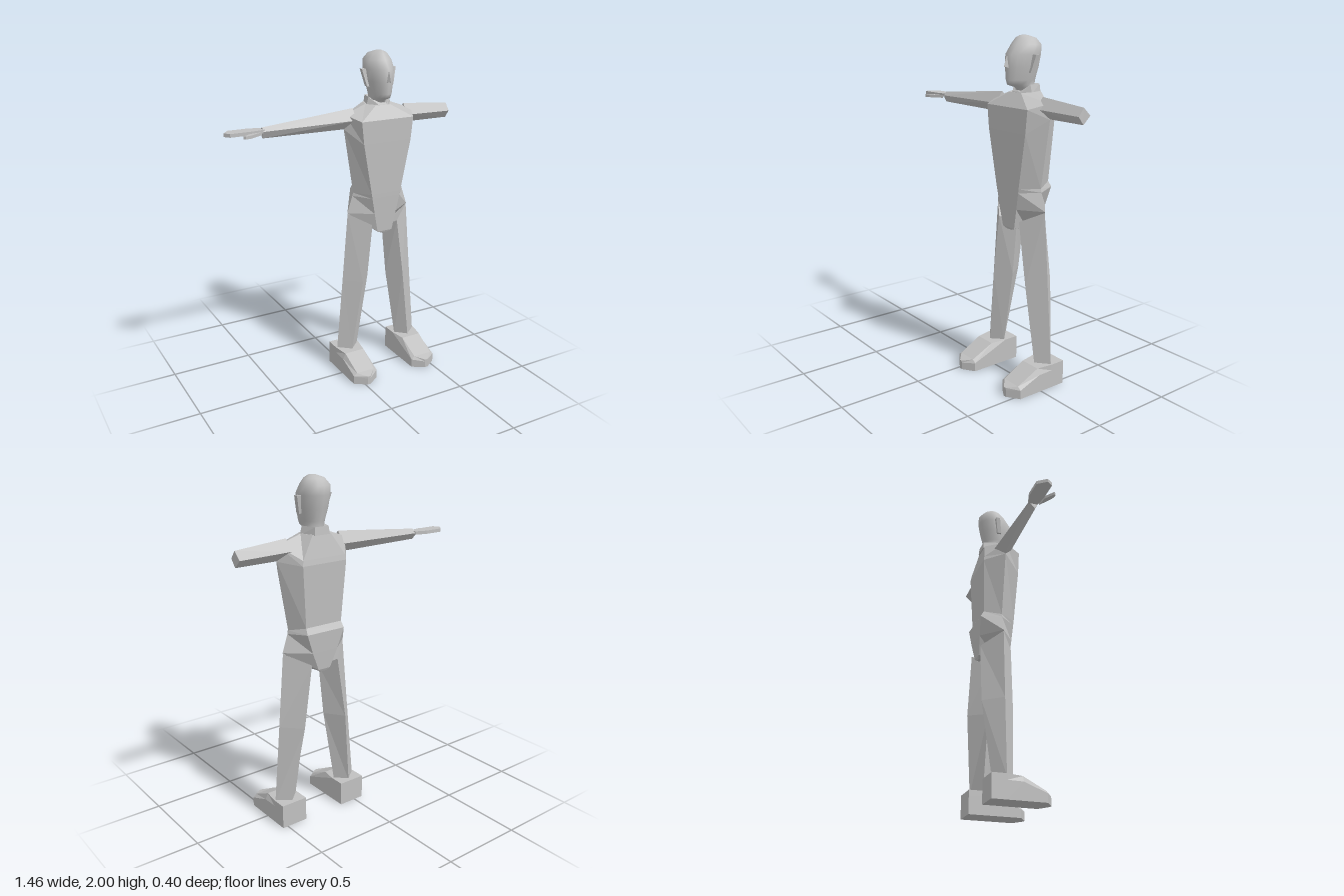
import * as THREE from 'three';

const CX = 0.2365; // symmetry plane of the body

// Closed skin over rings of [x, y, z] points, capped at both ends
function loft(rings, smooth = false) {
  const n = rings[0].length, pts = rings.flat(), idx = [];
  for (let r = 0; r < rings.length - 1; r++) {
    for (let i = 0; i < n; i++) {
      const a = r * n + i, b = r * n + (i + 1) % n;
      idx.push(a, b, b + n, a, b + n, a + n);
    }
  }
  const last = (rings.length - 1) * n;
  for (let i = 1; i < n - 1; i++) {
    idx.push(0, i + 1, i, last, last + i, last + i + 1);
  }
  // turn the faces outward whichever way the rings run
  let volume = 0;
  const v = (i) => new THREE.Vector3(...pts[i]);
  for (let i = 0; i < idx.length; i += 3) {
    volume += v(idx[i]).dot(v(idx[i + 1]).cross(v(idx[i + 2])));
  }
  if (volume < 0) idx.reverse();
  let geo = new THREE.BufferGeometry();
  geo.setAttribute('position', new THREE.Float32BufferAttribute(pts.flat(), 3));
  geo.setIndex(idx);
  if (!smooth) geo = geo.toNonIndexed();
  geo.computeVertexNormals();
  return geo;
}

// Half outline [halfX, y, z] from front to back, mirrored into a ring
const mirrored = (half) => [
  ...half.map(([x, y, z]) => [CX + x, y, z]),
  ...half.slice().reverse().map(([x, y, z]) => [CX - x, y, z]),
];

// Diamond section of an arm at x
const diamond = (x, low, mid, high, back, front) => [
  [x, high, -0.08], [x, mid, front], [x, low, -0.08], [x, mid, back],
];

export function createModel() {
  const model = new THREE.Group();
  const grey = new THREE.MeshStandardMaterial({ color: 0xc0c0c0 });
  grey.name = 'plain grey';
  const add = (name, geo) => {
    const mesh = new THREE.Mesh(geo, grey);
    mesh.name = name;
    model.add(mesh);
    return mesh;
  };

  // Torso: front, side and back corner at each level
  add('torso', loft([
    [[0.05, 1.69, -0.03], [0.085, 1.695, -0.09], [0.06, 1.695, -0.165]],
    [[0.175, 1.615, 0.03], [0.228, 1.645, -0.08], [0.14, 1.57, -0.19]],
    [[0.16, 1.48, 0.03], [0.235, 1.56, -0.08], [0.145, 1.54, -0.195]],
    [[0.1, 1.165, 0.022], [0.172, 1.165, -0.08], [0.12, 1.19, -0.18]],
    [[0.095, 1.14, 0.021], [0.177, 1.145, -0.08], [0.125, 1.155, -0.2]],
    [[0.075, 1.04, 0.016], [0.212, 1.04, -0.08], [0.085, 1.04, -0.192]],
    [[0.05, 0.92, 0.01], [0.05, 0.92, -0.08], [0.04, 0.93, -0.182]],
    [[0.02, 0.908, 0.005], [0.02, 0.908, -0.08], [0.02, 0.915, -0.175]],
  ].map(mirrored)));

  // Collar around the neck
  add('collar', loft([
    [[0.03, 1.675, -0.025], [0.083, 1.685, -0.08], [0.05, 1.69, -0.172]],
    [[0.03, 1.695, -0.035], [0.07, 1.735, -0.08], [0.045, 1.735, -0.168]],
  ].map(mirrored)));

  // Head and neck: egg-shaped sections [y, half width, front z, back z]
  const headRings = [
    [1.66, 0.058, -0.05, -0.15], [1.715, 0.06, -0.04, -0.155],
    [1.735, 0.06, 0.022, -0.157], [1.76, 0.067, 0.03, -0.16],
    [1.83, 0.084, 0.033, -0.177], [1.9, 0.092, 0.03, -0.19],
    [1.95, 0.087, -0.008, -0.19], [1.985, 0.058, -0.035, -0.16],
    [2.0, 0.02, -0.06, -0.11],
  ].map(([y, hx, front, back]) => Array.from({ length: 16 }, (_, i) => {
    const a = i / 16 * Math.PI * 2, c = Math.cos(a);
    return [
      CX + hx * Math.sin(a) * (1 - 0.28 * Math.max(0, c)),
      y,
      (front + back) / 2 + (front - back) / 2 * c,
    ];
  }));
  add('head', loft(headRings, true));

  add('nose', loft([
    [[CX - 0.018, 1.825, 0.02], [CX, 1.835, 0.052], [CX + 0.018, 1.825, 0.02]],
    [[CX - 0.006, 1.89, 0.02], [CX, 1.89, 0.034], [CX + 0.006, 1.89, 0.02]],
  ]));

  // Arms: the right one is long, the left one ends short
  add('rightArm', loft([
    diamond(0.06, 1.56, 1.615, 1.68, -0.136, -0.03),
    diamond(-0.51, 1.565, 1.605, 1.627, -0.117, -0.06),
  ]));
  add('leftArm', loft([
    diamond(0.41, 1.563, 1.615, 1.678, -0.136, -0.03),
    diamond(0.725, 1.562, 1.607, 1.652, -0.128, -0.045),
  ]));

  // Right hand: flat palm with fingers, and a thumb
  const slab = (outline, low, high) =>
    loft([low, high].map((y) => outline.map(([x, z]) => [x, y, z])));
  add('rightHand', slab([
    [-0.5, -0.118], [-0.57, -0.14], [-0.69, -0.14], [-0.73, -0.09],
    [-0.705, -0.055], [-0.58, -0.055], [-0.5, -0.065],
  ], 1.596, 1.616));
  add('rightThumb', slab([
    [-0.52, -0.06], [-0.59, -0.052], [-0.645, -0.015],
    [-0.635, -0.005], [-0.6, -0.013],
  ], 1.588, 1.605));

  for (const [side, s] of [['left', 1], ['right', -1]]) {
    const place = (rings) =>
      rings.map((ring) => ring.map(([x, y, z]) => [CX + s * x, y, z]));

    // Leg: diamond section with outer, front, inner and back ridges
    add(side + 'Leg', loft(place([
      [[0.21, 1.035, -0.08], [0.09, 0.97, 0.008], [0.035, 0.91, -0.08], [0.09, 0.97, -0.188]],
      [[0.247, 0.6, -0.08], [0.146, 0.6, 0.002], [0.067, 0.6, -0.08], [0.146, 0.6, -0.19]],
      [[0.288, 0.13, -0.08], [0.212, 0.13, -0.02], [0.146, 0.13, -0.08], [0.212, 0.13, -0.142]],
    ])));

    // Foot: sections from heel to pointed toe [z, half width, top half, height]
    add(side + 'Foot', loft(place([
      [-0.17, 0.082, 0.082, 0.143], [-0.08, 0.082, 0.082, 0.143],
      [0.015, 0.082, 0.065, 0.14], [0.155, 0.082, 0.06, 0.07],
      [0.203, 0.01, 0.008, 0.055],
    ].map(([z, w, t, h]) => [
      [0.214 - w, 0, z], [0.214 + w, 0, z],
      [0.214 + w, h * 0.75, z], [0.214 + t, h, z],
      [0.214 - t, h, z], [0.214 - w, h * 0.75, z],
    ]))));

    // Ear: thin slanted plate flaring outward
    add(side + 'Ear', loft(place([
      [[0.075, 1.8, -0.062], [0.09, 1.8, -0.062], [0.09, 1.8, -0.088], [0.075, 1.8, -0.088]],
      [[0.085, 1.9, -0.075], [0.115, 1.9, -0.08], [0.115, 1.9, -0.106], [0.085, 1.9, -0.106]],
    ])));
  }
  return model;
}
